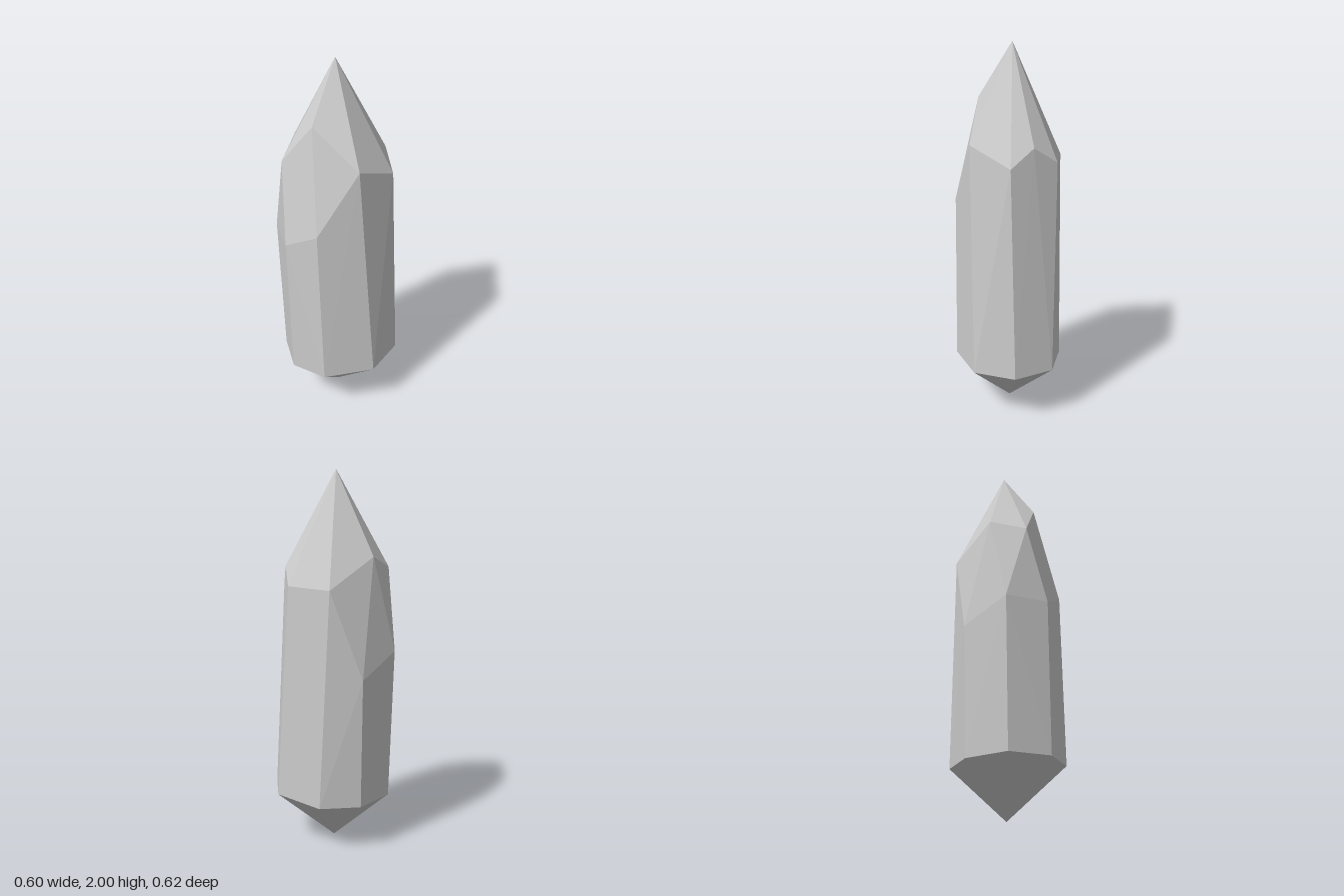
import * as THREE from 'three';
import { ConvexGeometry } from 'three/addons/geometries/ConvexGeometry.js';

export function createModel() {
  const group = new THREE.Group();
  group.name = 'crystal';

  // Tips of the crystal
  const tips = [[-0.025, 2, -0.005], [-0.005, 0, 0]];

  // Lower girdle: eight corners where the prism meets the bottom point
  const girdle = [
    [0.118, 0.265, 0.273], [0.298, 0.275, 0.06], [0.28, 0.285, -0.178], [0.1, 0.287, -0.311],
    [-0.157, 0.262, -0.24], [-0.279, 0.26, -0.058], [-0.257, 0.265, 0.17], [-0.082, 0.265, 0.303],
  ];

  // Low corners of the long slanted front facet
  const slant = [
    [0.084, 1.17, 0.279], [-0.1, 1.07, 0.311], [-0.284, 1.07, 0.176], [-0.299, 0.95, -0.068],
  ];

  // Shoulder: corners where the sides meet the top facets
  const shoulder = [
    [0.219, 1.508, 0.112], [0.246, 1.417, -0.133], [0.14, 1.51, -0.209], [0.025, 1.42, -0.286],
    [-0.197, 1.41, -0.204], [-0.247, 1.566, 0.05], [-0.174, 1.5, 0.234], [-0.014, 1.71, 0.186],
  ];

  const points = [...tips, ...girdle, ...slant, ...shoulder].map((p) => new THREE.Vector3(...p));
  const material = new THREE.MeshStandardMaterial({ color: 0xcccccc, flatShading: true });

  // Faceted body wrapped around the corners
  const body = new THREE.Mesh(new ConvexGeometry(points), material);
  body.name = 'crystalBody';
  group.add(body);
  return group;
}
